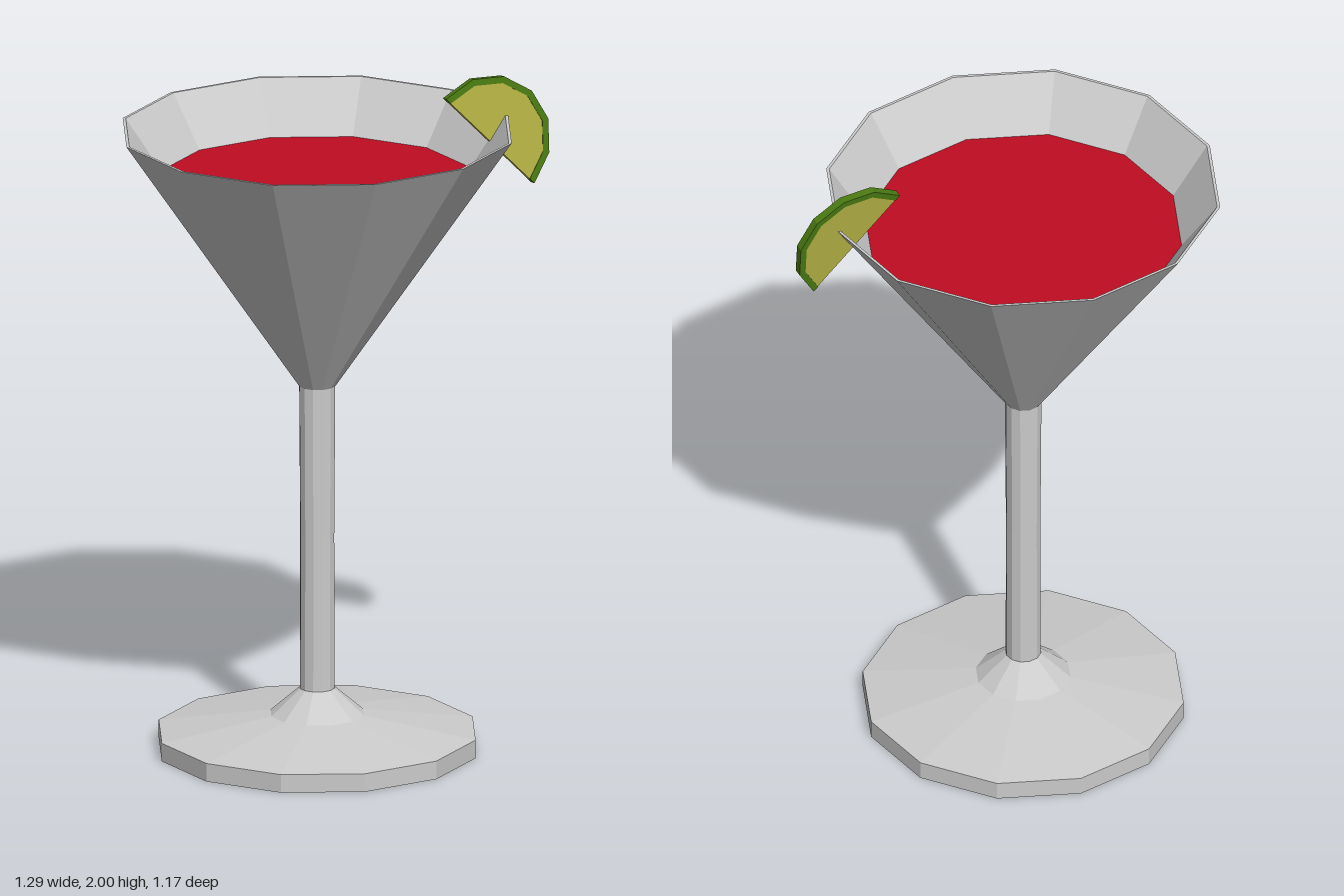
import * as THREE from 'three';

const SIDES = 12;

function material(color, side = THREE.FrontSide) {
  return new THREE.MeshStandardMaterial({ color, flatShading: true, side });
}

// Faceted turned part from [radius, height] pairs
function turned(name, profile, mat) {
  const points = profile.map(([r, y]) => new THREE.Vector2(r, y));
  const mesh = new THREE.Mesh(new THREE.LatheGeometry(points, SIDES), mat);
  mesh.name = name;
  return mesh;
}

// Corners of a half circle, from -90 to +90 degrees
function halfCircle(radius, steps = 6) {
  return Array.from({ length: steps + 1 }, (_, i) => {
    const a = -Math.PI / 2 + (i * Math.PI) / steps;
    return new THREE.Vector2(radius * Math.cos(a), radius * Math.sin(a));
  });
}

function slab(name, corners, depth, color) {
  const geometry = new THREE.ExtrudeGeometry(new THREE.Shape(corners), { depth, bevelEnabled: false });
  geometry.translate(0, 0, -depth / 2);
  const mesh = new THREE.Mesh(geometry, material(color));
  mesh.name = name;
  return mesh;
}

// Half slice of fruit: flesh inside a thin rind, flat edge on local x = 0
function createSlice() {
  const slice = new THREE.Group();
  slice.name = 'citrusSlice';
  const outer = halfCircle(0.194), inner = halfCircle(0.174);
  slice.add(slab('sliceFlesh', inner, 0.02, 0xb5b245));
  slice.add(slab('sliceRind', [...outer, ...inner.slice().reverse()], 0.024, 0x4a7a12));
  // lean the round side backwards, then turn it up and outwards
  slice.rotation.set(0, 0.18, 0.768, 'ZYX');
  slice.position.set(0.455, 1.81, 0.02);
  return slice;
}

export function createModel() {
  const model = new THREE.Group();
  model.name = 'cocktailGlass';

  const glass = new THREE.Group();
  glass.name = 'glass';
  glass.position.x = -0.063;
  model.add(glass);

  const grey = material(0xcccccc);
  // Foot with a sloped top and a short flare into the stem
  glass.add(turned('foot', [[0, 0], [0.475, 0], [0.475, 0.055], [0.14, 0.108], [0.052, 0.185]], grey));
  glass.add(turned('stem', [[0.052, 0.185], [0.051, 0.65], [0.054, 1.105]], grey));
  // Bowl with outer wall, narrow rim and inner wall
  glass.add(turned('bowl', [
    [0.054, 1.105], [0.583, 1.88], [0.574, 1.88], [0.046, 1.112], [0, 1.112],
  ], grey));

  // Drink surface, reaching the inner wall
  const drink = turned('drink', [[0.47, 1.727], [0, 1.727]], material(0xc00c22, THREE.DoubleSide));
  glass.add(drink);

  model.add(createSlice());
  return model;
}
